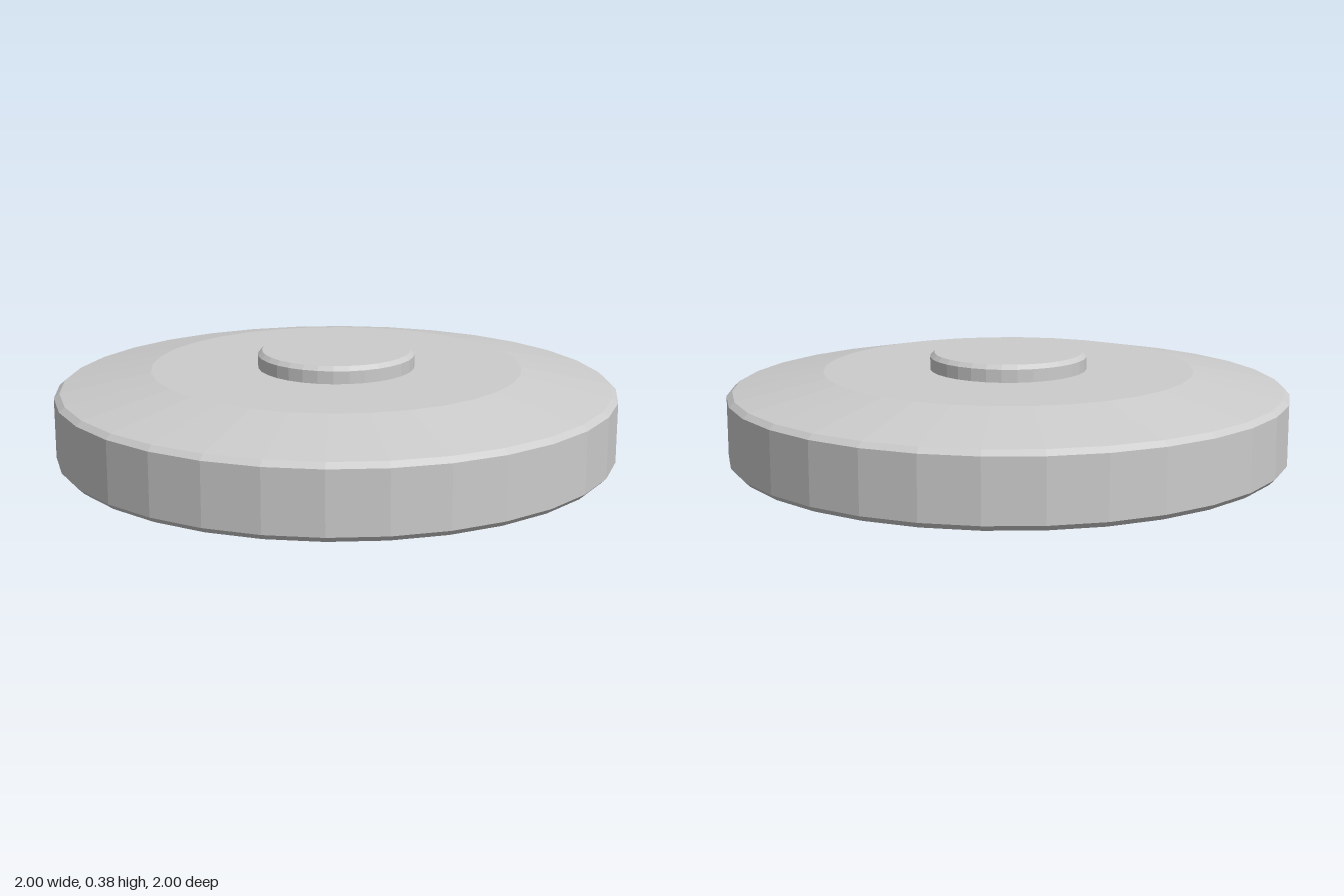
import * as THREE from 'three';

const SIDES = 32;

// Faceted solid of revolution from a bottom-to-top [radius, height] profile
function turned(name, profile, material) {
  const points = profile.map(([r, y]) => new THREE.Vector2(r, y));
  const mesh = new THREE.Mesh(new THREE.LatheGeometry(points, SIDES), material);
  mesh.name = name;
  return mesh;
}

export function createModel() {
  const group = new THREE.Group();
  group.name = 'disc';
  const material = new THREE.MeshStandardMaterial({ color: 0xcccccc, flatShading: true });

  // Bevelled disc with a shallow sloping shoulder and flat top
  group.add(turned('body', [
    [0, 0], [0.98, 0], [1, 0.02], [1, 0.235], [0.98, 0.252], [0.66, 0.315], [0, 0.315],
  ], material));

  // Raised centre button with a chamfered rim
  group.add(turned('button', [
    [0, 0.3], [0.28, 0.3], [0.28, 0.36], [0.265, 0.375], [0, 0.375],
  ], material));

  return group;
}
